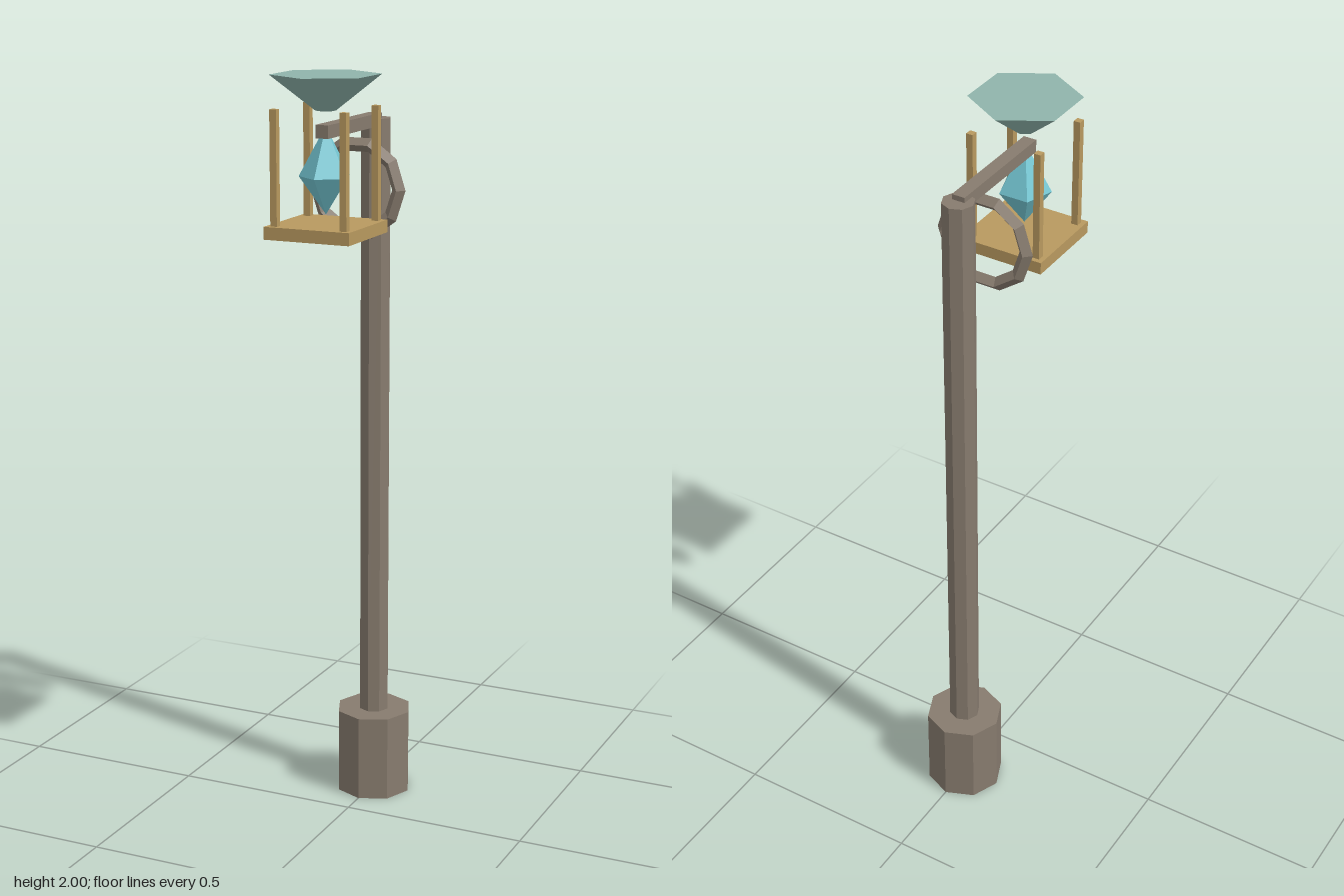
import * as THREE from 'three';

const material = (name, color) => {
  const m = new THREE.MeshStandardMaterial({ color, flatShading: true });
  m.name = name;
  return m;
};

export function createModel() {
  const model = new THREE.Group();
  model.name = 'lampPost';
  const post = material('weathered grey brown', 0x877b6e);
  const brass = material('dull brass', 0xb8995f);
  const glass = material('pale green glass', 0x8fb4ab);
  const crystal = material('cyan crystal', 0x74c6d2);

  const add = (name, geometry, mat, x, y, z, parent = model) => {
    const mesh = new THREE.Mesh(geometry, mat);
    mesh.name = name;
    mesh.position.set(x, y, z);
    parent.add(mesh);
    return mesh;
  };

  // Eight-sided foot and pole, standing towards the back
  const poleZ = -0.17;
  add('base', new THREE.CylinderGeometry(0.104, 0.104, 0.235, 8), post, 0, 0.1175, poleZ);
  add('pole', new THREE.CylinderGeometry(0.041, 0.041, 1.63, 8), post, 0, 1.05, poleZ);

  // Arm reaching forward, with a faceted ring beneath it
  add('arm', new THREE.BoxGeometry(0.035, 0.033, 0.325), post, 0, 1.862, -0.0075);
  add('ring', new THREE.TorusGeometry(0.116, 0.0185, 4, 10), post, 0, 1.698, -0.054);

  // Lantern: tray, four corner posts, crystal and flared cap
  const lantern = new THREE.Group();
  lantern.name = 'lantern';
  lantern.position.z = 0.132;
  model.add(lantern);
  add('tray', new THREE.BoxGeometry(0.231, 0.032, 0.231), brass, 0, 1.618, 0, lantern);
  for (const sx of [-1, 1]) {
    for (const sz of [-1, 1]) {
      add('cornerPost', new THREE.BoxGeometry(0.018, 0.286, 0.018), brass,
        sx * 0.094, 1.777, sz * 0.094, lantern);
    }
  }
  add('crystalTop', new THREE.CylinderGeometry(0, 0.068, 0.125, 5, 1, true), crystal, 0, 1.8125, 0, lantern);
  add('crystalBottom', new THREE.CylinderGeometry(0.068, 0, 0.094, 5, 1, true), crystal, 0, 1.703, 0, lantern);
  add('cap', new THREE.CylinderGeometry(0.139, 0.026, 0.088, 6), glass, 0, 1.956, 0, lantern);

  return model;
}
